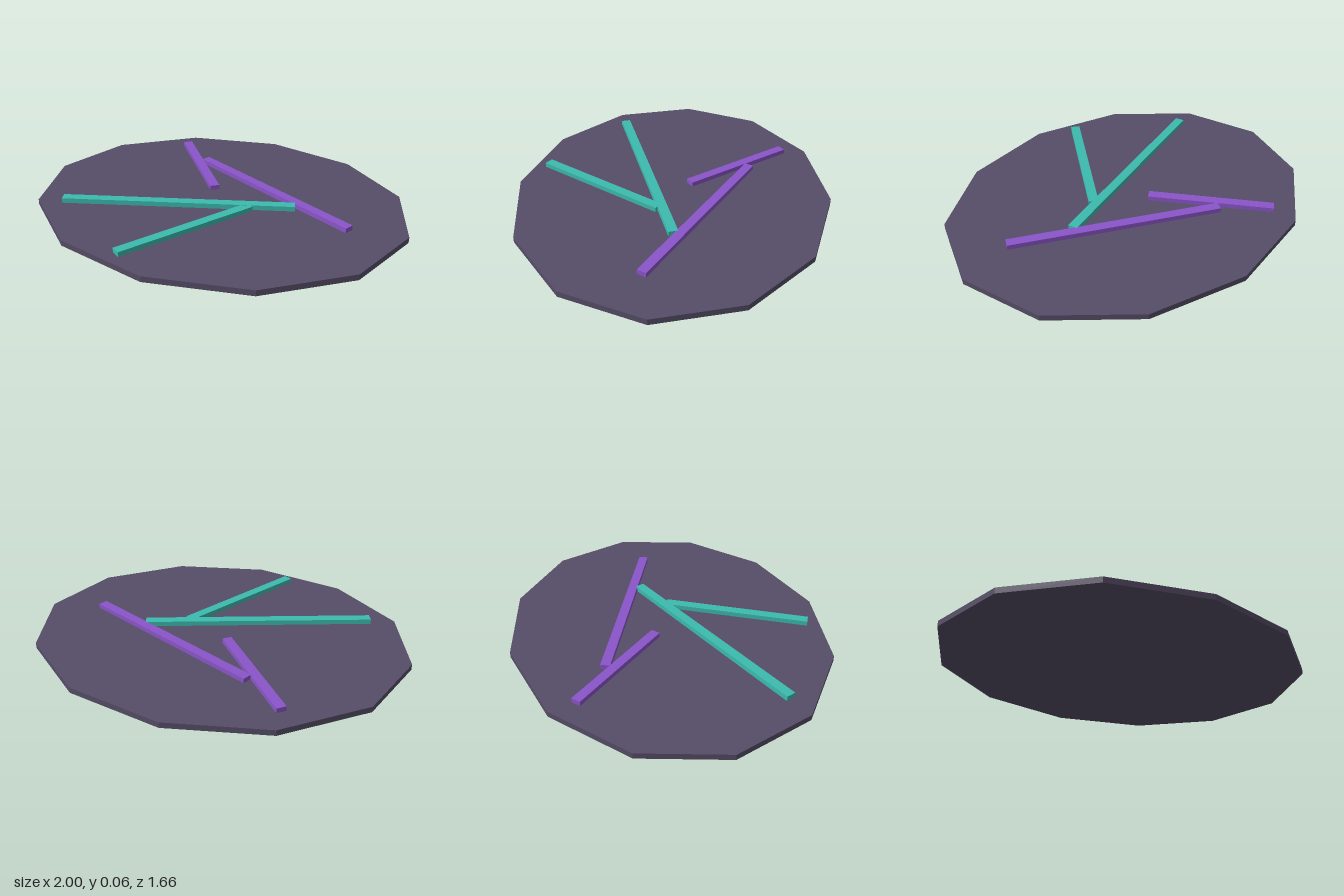
import * as THREE from 'three';

export function createModel() {
  const model = new THREE.Group();
  const material = (name, color) => {
    const m = new THREE.MeshStandardMaterial({ color });
    m.name = name;
    return m;
  };
  const slate = material('slate', 0x564d67);
  const teal = material('teal', 0x3cbbaf);
  const purple = material('purple', 0x8b55c9);

  // Twelve-sided oval slab
  const slabHeight = 0.03;
  const slabGeometry = new THREE.CylinderGeometry(1, 1, slabHeight, 12).toNonIndexed();
  slabGeometry.scale(1, 1, 0.83);
  slabGeometry.computeVertexNormals();
  const slab = new THREE.Mesh(slabGeometry, slate);
  slab.name = 'slab';
  slab.position.y = slabHeight / 2;
  model.add(slab);

  // Straight strip lying on the slab between two points (x, z)
  function addStrip(name, mat, [x1, z1], [x2, z2], top) {
    const height = top - slabHeight;
    const length = Math.hypot(x2 - x1, z2 - z1);
    const strip = new THREE.Mesh(new THREE.BoxGeometry(length, height, 0.05), mat);
    strip.name = name;
    strip.position.set((x1 + x2) / 2, slabHeight + height / 2, (z1 + z2) / 2);
    strip.rotation.y = -Math.atan2(z2 - z1, x2 - x1);
    model.add(strip);
  }

  // The long teal strip crosses just above its neighbours
  addStrip('longTealStrip', teal, [-0.738, 0.371], [0.406, -0.046], 0.056);
  addStrip('shortTealStrip', teal, [-0.193, 0.722], [0.193, 0.052], 0.055);
  addStrip('longPurpleStrip', purple, [-0.273, -0.4], [0.722, 0.064], 0.055);
  addStrip('shortPurpleStrip', purple, [-0.487, -0.585], [-0.067, -0.085], 0.0545);

  return model;
}
